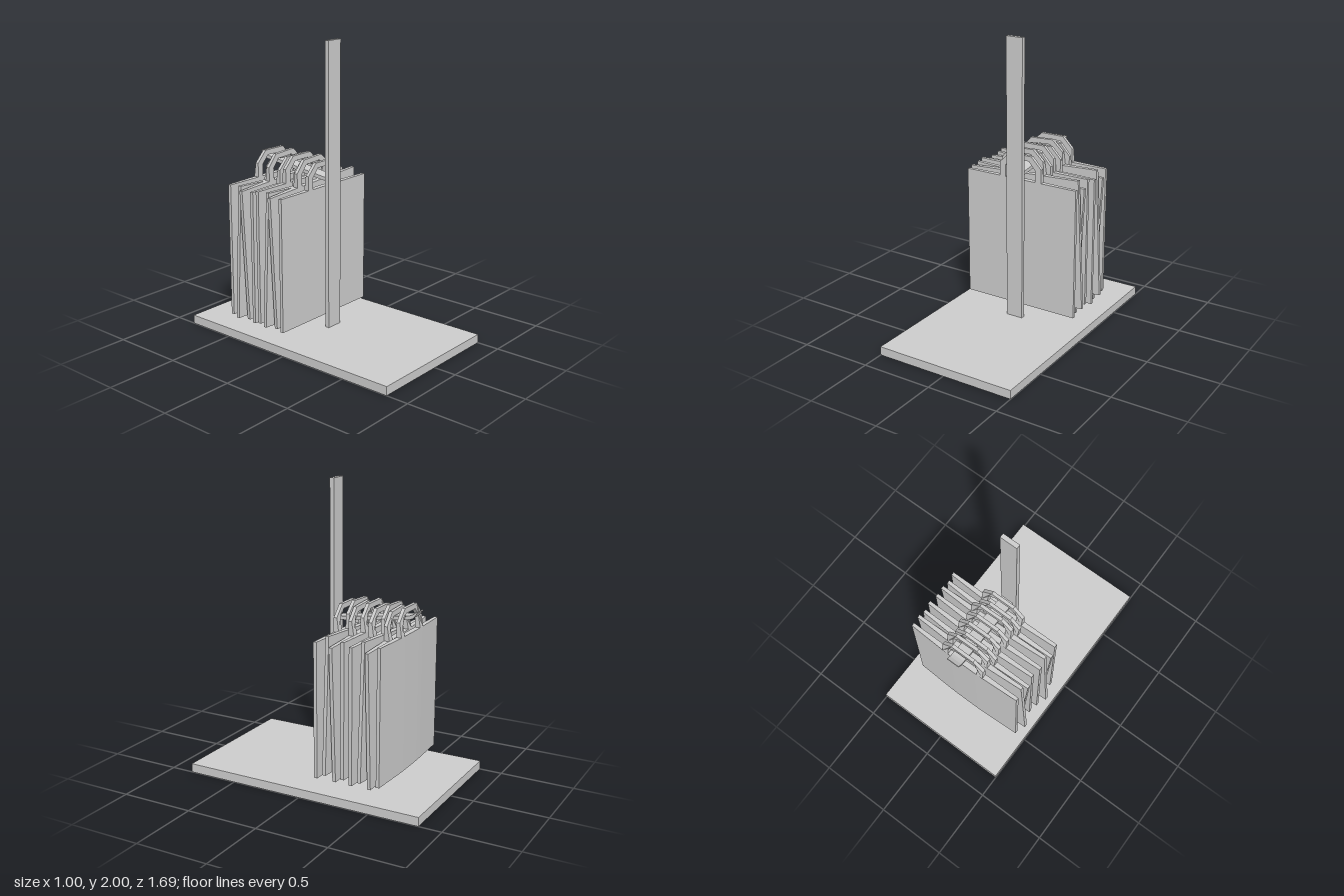
import * as THREE from 'three';

const material = new THREE.MeshStandardMaterial({ color: 0xcccccc, flatShading: true, side: THREE.DoubleSide });

function addMesh(parent, name, geometry, x = 0, y = 0, z = 0) {
  const mesh = new THREE.Mesh(geometry, material);
  mesh.name = name;
  mesh.position.set(x, y, z);
  parent.add(mesh);
  return mesh;
}

function shapeOf(points) {
  return new THREE.Shape(points.map(([x, y]) => new THREE.Vector2(x, y)));
}

const extrude = (shape, depth) => new THREE.ExtrudeGeometry(shape, { depth, bevelEnabled: false });

const W = 0.42, H = 0.455;         // half width and half height of a bag
const THICK = 0.023, BULGE = 0.037; // depth at the sides and at the middle

// Flat front, back swelling towards the middle; front face at z = 0
function bagBody() {
  const plan = shapeOf([[-W, 0], [W, 0], [W, THICK], [0.16, BULGE - 0.002], [0.1, BULGE],
    [-0.1, BULGE], [-0.16, BULGE - 0.002], [-W, THICK]]);
  return extrude(plan, 2 * H).rotateX(-Math.PI / 2).translate(0, -H, 0);
}

// Angular arch handle, its feet thickened to meet the swollen back
function bagHandle() {
  const outer = [[0.16, H], [0.16, 0.55], [0.085, 0.627]];
  const inner = [[0.115, H], [0.115, 0.535], [0.065, 0.592]];
  const mirror = (pts) => pts.map(([x, y]) => [-x, y]).reverse();
  const arch = shapeOf([...outer, ...mirror(outer), ...mirror(inner).reverse(), ...inner.slice().reverse()]);
  const geometry = extrude(arch, THICK).translate(0, 0, -THICK);
  const p = geometry.attributes.position;
  for (let i = 0; i < p.count; i++) {
    if (p.getZ(i) < -0.01 && p.getY(i) < H + 0.001) p.setZ(i, -BULGE);
  }
  geometry.computeVertexNormals();
  return geometry;
}

// Curved flat hook: a side profile thickened along its normals
function hookRail() {
  const path = new THREE.CatmullRomCurve3([[0.03, 1.092], [0.2, 1.113], [0.38, 1.138], [0.5, 1.153],
    [0.56, 1.165], [0.598, 1.198]].map(([x, y]) => new THREE.Vector3(x, y, 0)));
  const top = [], bottom = [];
  for (let i = 0; i <= 16; i++) {
    const p = path.getPoint(i / 16), t = path.getTangent(i / 16);
    const h = 0.012 * (i > 13 ? 1 - (i - 13) * 0.25 : 1);
    top.push([p.x - t.y * h, p.y + t.x * h]);
    bottom.push([p.x + t.y * h, p.y - t.x * h]);
  }
  return extrude(shapeOf([...bottom, ...top.reverse()]), 0.09).translate(0, 0, -0.045).rotateY(Math.PI / 2);
}

export function createModel() {
  const model = new THREE.Group();
  model.name = 'bagStand';

  addMesh(model, 'base', new THREE.BoxGeometry(1, 0.06, 1.69), 0, 0.03, 0);
  addMesh(model, 'post', new THREE.BoxGeometry(0.12, 1.94, 0.03), 0, 1.03, 0);
  addMesh(model, 'hookRail', hookRail());

  // Four hanging poses, repeated once further back: x, y, front z, tilt
  const poses = [
    [-0.005, 0.575, -0.066, 0],
    [-0.005, 0.595, -0.14, 0.052],
    [-0.025, 0.575, -0.177, -0.05],
    [-0.02, 0.595, -0.252, 0],
  ];
  const body = bagBody(), handle = bagHandle();
  for (let set = 0; set < 2; set++) {
    poses.forEach(([x, y, z, tilt], i) => {
      const bag = new THREE.Group();
      bag.name = `bag${set * 4 + i + 1}`;
      addMesh(bag, 'bagBody', body);
      addMesh(bag, 'bagHandle', handle);
      bag.position.set(x, y, z - set * 0.251);
      bag.rotation.z = tilt;
      model.add(bag);
    });
  }
  return model;
}
